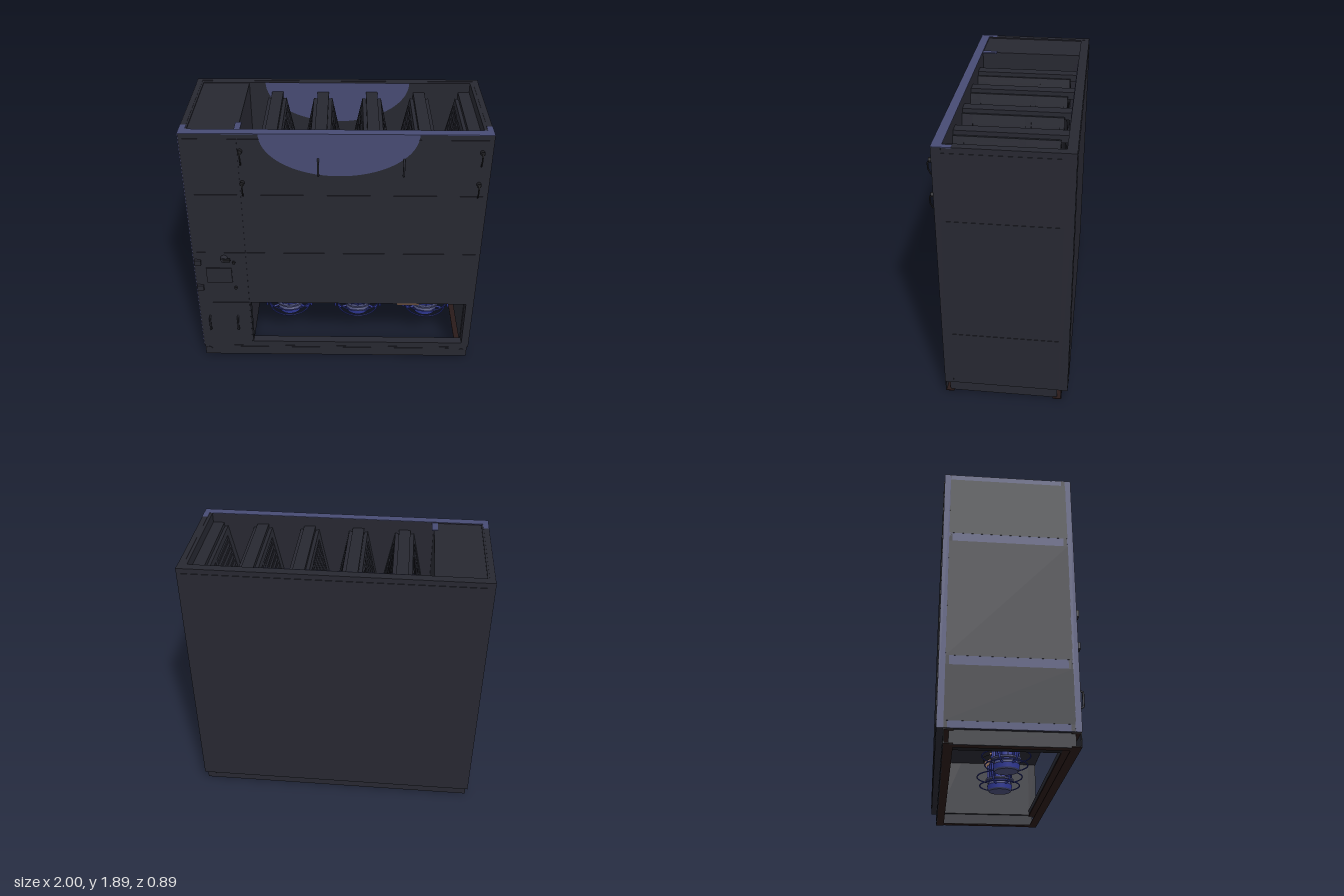
import * as THREE from 'three';

const mat = (name, color, side = THREE.FrontSide) => {
  const m = new THREE.MeshStandardMaterial({ color, side });
  m.name = name;
  return m;
};

export function createModel() {
  const root = new THREE.Group();
  root.name = 'airHandlingCabinet';
  const steel = mat('charcoalSteel', 0x272831);
  const slate = mat('slateBlue', 0x474b73, THREE.DoubleSide);
  const dark = mat('rubberBlack', 0x1d1d21);
  const blue = mat('fanBlue', 0x313a98);
  const copper = mat('copper', 0xdca98c);
  const brown = mat('baseBrown', 0x291a19);

  const add = (name, geo, m, parent = root, x = 0, y = 0, z = 0) => {
    const mesh = new THREE.Mesh(geo, m);
    mesh.name = name;
    mesh.position.set(x, y, z);
    parent.add(mesh);
    return mesh;
  };
  // box given by its limits
  const box = (name, m, x0, x1, y0, y1, z0, z1, parent = root) =>
    add(name, new THREE.BoxGeometry(x1 - x0, y1 - y0, z1 - z0), m, parent,
      (x0 + x1) / 2, (y0 + y1) / 2, (z0 + z1) / 2);
  const cyl = (name, m, r0, r1, y0, y1, parent, n = 32) =>
    add(name, new THREE.CylinderGeometry(r1, r0, y1 - y0, n), m, parent, 0, (y0 + y1) / 2, 0);
  const tube = (name, m, pts, r, parent) => {
    const path = new THREE.CurvePath();
    const v = pts.map((p) => new THREE.Vector3(...p));
    for (let i = 1; i < v.length; i++) path.add(new THREE.LineCurve3(v[i - 1], v[i]));
    return add(name, new THREE.TubeGeometry(path, 8 * (v.length - 1), r, 8), m, parent);
  };
  const outline = (pts) => pts.map((p) => new THREE.Vector2(...p));

  // Cabinet walls, the front one with the fan opening
  const face = new THREE.Shape(outline([[-1, 0.09], [1, 0.09], [1, 1.888], [-1, 1.888]]));
  face.holes.push(new THREE.Path(outline([[-0.62, 0.13], [-0.62, 0.51], [0.945, 0.51], [0.945, 0.13]])));
  add('frontWall', new THREE.ExtrudeGeometry(face, { depth: 0.06, bevelEnabled: false }), steel, root, 0, 0, 0.34);
  box('backWall', steel, -1, 1, 0.09, 1.888, -0.442, -0.38);
  box('leftWall', steel, 0.94, 0.997, 0.09, 1.888, -0.38, 0.34);
  box('rightWall', steel, -0.997, -0.95, 0.09, 1.888, -0.38, 0.34);
  box('partition', steel, -0.65, -0.625, 0.09, 1.88, -0.38, 0.34);
  box('compartmentRoof', steel, -0.96, -0.625, 1.86, 1.882, -0.39, 0.35);
  box('compartmentFloor', dark, -0.96, -0.625, 0.085, 0.1, -0.39, 0.35);
  box('fanDeck', steel, -0.63, 0.945, 0.51, 0.53, -0.38, 0.34);
  box('openingCopperTrim', copper, 0.445, 0.605, 0.505, 0.512, 0.396, 0.4055);
  box('backPanel', steel, -0.97, 0.97, 0.13, 1.855, -0.446, -0.441);

  // Front door panels
  const levels = [0.13, 0.515, 0.965, 1.44, 1.855];
  for (let i = 0; i < 4; i++) {
    const y0 = levels[i] + 0.003, y1 = levels[i + 1] - 0.003;
    box('frontSmallPanel', steel, -0.97, -0.628, y0, y1, 0.399, 0.404);
    if (i > 0) box('frontWidePanel', steel, -0.622, 0.967, y0, y1, 0.399, 0.404);
  }

  // Side panels, with a painted frame on one side
  const sides = [0.13, 0.52, 1.395, 1.855];
  for (let i = 0; i < 3; i++) {
    box('leftPanel', steel, 0.995, 1, sides[i] + 0.003, sides[i + 1] - 0.003, -0.40, 0.367);
    box('rightPanel', steel, -1.001, -0.995, sides[i] + (i ? 0.03 : 0.005),
      sides[i + 1] - (i < 2 ? 0.03 : 0.005), -0.40, 0.367);
  }
  for (const y of [0.112, 0.52, 1.395, 1.868])
    box('rightFrameRail', slate, -1, -0.996, Math.max(y - 0.032, 0.09), Math.min(y + 0.032, 1.888), -0.4, 0.367);
  for (const z of [-0.421, 0.384])
    box('rightFramePost', slate, -1.001, -0.996, 0.09, 1.888, z - 0.02, z + 0.02);

  // Top rim
  box('frontRimStrip', slate, -1, 1, 1.886, 1.891, 0.34, 0.402);
  box('roofPatch', slate, -0.65, -0.61, 1.878, 1.886, 0.235, 0.34);
  for (const s of [-1, 1]) {
    box('rimCorner', slate, s * 0.98 - 0.02, s * 0.98 + 0.02, 1.886, 1.891, 0.28, 0.34);
    box('sideRim', steel, s * 0.98 - 0.018, s * 0.98 + 0.018, 1.88, 1.89, -0.41, 0.28);
  }
  box('backRim', steel, -1, 1, 1.88, 1.89, -0.442, -0.41);

  // Painted half ovals on the front and the inner back wall
  const oval = new THREE.Shape();
  oval.absellipse(0, 0, 0.51, 0.3, Math.PI, Math.PI * 2, false, 0);
  for (const z of [0.4055, -0.377])
    add('paintedOval', new THREE.ShapeGeometry(oval, 40), slate, root, z > 0 ? 0.02 : 0, 1.888, z);

  // Base of open channels
  for (const s of [-1, 1]) {
    box('baseWeb', steel, -0.99, 0.99, 0, 0.09, s * 0.398 - 0.003, s * 0.398 + 0.003);
    box('baseFlange', brown, -0.99, 0.99, 0, 0.006, s * 0.37 - 0.028, s * 0.37 + 0.028);
    box('baseTopFlange', brown, -0.99, 0.99, 0.084, 0.09, s * 0.37 - 0.028, s * 0.37 + 0.028);
    box('basePlate', steel, -0.87, 0.855, 0.03, 0.078, s * 0.402 - 0.002, s * 0.402 + 0.002);
    box('baseSideWeb', steel, s * 0.97 - 0.005, s * 0.97 + 0.005, 0, 0.09, -0.37, 0.37);
    box('baseSideFlange', brown, s * 0.945 - 0.025, s * 0.945 + 0.025, 0, 0.006, -0.37, 0.37);
    for (const x of [-0.96, 0.95]) {
      const boss = add('baseBoss', new THREE.CylinderGeometry(0.023, 0.023, 0.006, 20), steel, root, x, 0.05, s * 0.401);
      boss.rotation.x = Math.PI / 2;
    }
  }

  // Sloping coil banks below ridge bars
  const ridges = [-0.425, -0.1, 0.245, 0.58, 0.9];
  const coil = (bx, s) => {
    const g = new THREE.Group();
    g.name = 'coilBank';
    const run = 0.125, drop = 0.6, len = Math.hypot(run, drop);
    g.position.set(bx + s * 0.04, 1.79, 0);
    g.rotation.z = s * Math.atan2(run, drop);
    const out = s * 0.014;
    box('coilCore', steel, -0.012, 0.012, -len, 0, -0.32, 0.3, g);
    for (const y of [-0.02, -len + 0.02])
      box('coilEndFrame', steel, out - 0.012, out + 0.012, y - 0.02, y + 0.02, -0.32, 0.34, g);
    for (const [z0, z1] of [[-0.33, -0.3], [-0.115, -0.075], [0.27, 0.34]])
      box('coilCrossFrame', steel, out - 0.012, out + 0.012, -len, 0, z0, z1, g);
    for (let i = 1; i < 12; i++) {
      const y = -len * i / 12;
      box('coilSlat', steel, out - 0.006, out + 0.006, y - 0.015, y + 0.015, -0.3, 0.27, g);
    }
    root.add(g);
  };
  ridges.forEach((x, i) => {
    box('ridgeBar', steel, x - 0.04, Math.min(x + 0.04, 0.94), 1.77, 1.82, -0.38, 0.34);
    coil(x, -1);
    if (i < 4) coil(x, 1);
  });

  // Hanging fans with motors and guard cages
  for (const x of [-0.36, 0.165, 0.685]) {
    const fan = new THREE.Group();
    fan.name = 'fan';
    fan.position.set(x, 0, 0.08);
    root.add(fan);
    cyl('inletCone', copper, 0.088, 0.08, 0.47, 0.51, fan);
    cyl('impeller', dark, 0.125, 0.134, 0.434, 0.47, fan);
    cyl('impellerPlate', copper, 0.122, 0.122, 0.422, 0.434, fan);
    cyl('motorBody', blue, 0.085, 0.085, 0.25, 0.422, fan);
    cyl('motorFlange', slate, 0.11, 0.11, 0.285, 0.298, fan);
    cyl('motorShoulder', slate, 0.098, 0.086, 0.25, 0.27, fan);
    cyl('motorCap', blue, 0.092, 0.098, 0.214, 0.25, fan);
    cyl('motorCapEnd', slate, 0.085, 0.092, 0.203, 0.214, fan);
    for (let i = 0; i < 12; i++) {
      const pivot = new THREE.Group();
      pivot.name = 'motorFinPivot';
      pivot.rotation.y = i * Math.PI / 6;
      fan.add(pivot);
      box('motorFin', blue, 0.08, 0.098, 0.3, 0.41, -0.005, 0.005, pivot);
    }
    for (const [r, y] of [[0.155, 0.25], [0.178, 0.32]]) {
      const ring = add('cageRing', new THREE.TorusGeometry(r, 0.005, 8, 40), blue, fan, 0, y, 0);
      ring.rotation.x = Math.PI / 2;
    }
    for (const a of [0.4, -0.4, Math.PI - 0.4, Math.PI + 0.4]) {
      const post = new THREE.Group();
      post.name = 'cagePost';
      post.rotation.y = a;
      fan.add(post);
      tube('cageRod', blue, [[0.09, 0.25, 0], [0.14, 0.25, 0], [0.16, 0.27, 0], [0.16, 0.51, 0]], 0.008, post);
      tube('cageOuterRod', blue, [[0.185, 0.28, 0], [0.185, 0.51, 0]], 0.008, post);
      box('cageClamp', blue, 0.15, 0.195, 0.42, 0.432, -0.01, 0.01, post);
    }
  }

  // Front pull handles
  const pulls = [[-0.113, 1.655], [0.438, 1.655], [-0.925, 0.325], [-0.72, 0.325]];
  for (const [x, y] of pulls)
    tube('pullHandle', steel, [[x, y - 0.06, 0.4], [x, y - 0.048, 0.434], [x, y + 0.048, 0.434], [x, y + 0.06, 0.4]], 0.007, root);

  // Latches with round heads and curved levers
  for (const x of [-0.61, 0.93]) for (const y of [1.77, 1.535]) {
    const head = add('latchHead', new THREE.CylinderGeometry(0.015, 0.015, 0.03, 20), dark, root, x, y, 0.415);
    head.rotation.x = Math.PI / 2;
    tube('latchLever', dark, [[x, y, 0.425], [x, y - 0.02, 0.438], [x, y - 0.06, 0.436], [x, y - 0.095, 0.42]], 0.005, root);
  }

  // Control door: display, knob, locks and hinges
  box('display', steel, -0.915, -0.735, 0.705, 0.83, 0.4, 0.413);
  const knob = add('knob', new THREE.CylinderGeometry(0.02, 0.027, 0.035, 20), steel, root, -0.78, 0.915, 0.417);
  knob.rotation.x = Math.PI / 2;
  box('knobGrip', dark, -0.785, -0.735, 0.905, 0.925, 0.42, 0.44);
  for (const y of [0.88, 0.655]) {
    const lock = add('doorLock', new THREE.CylinderGeometry(0.011, 0.011, 0.02, 16), dark, root, -0.715, y, 0.408);
    lock.rotation.x = Math.PI / 2;
    box('hinge', steel, -0.99, -0.945, y - 0.022, y + 0.022, 0.396, 0.42);
  }
  return root;
}
